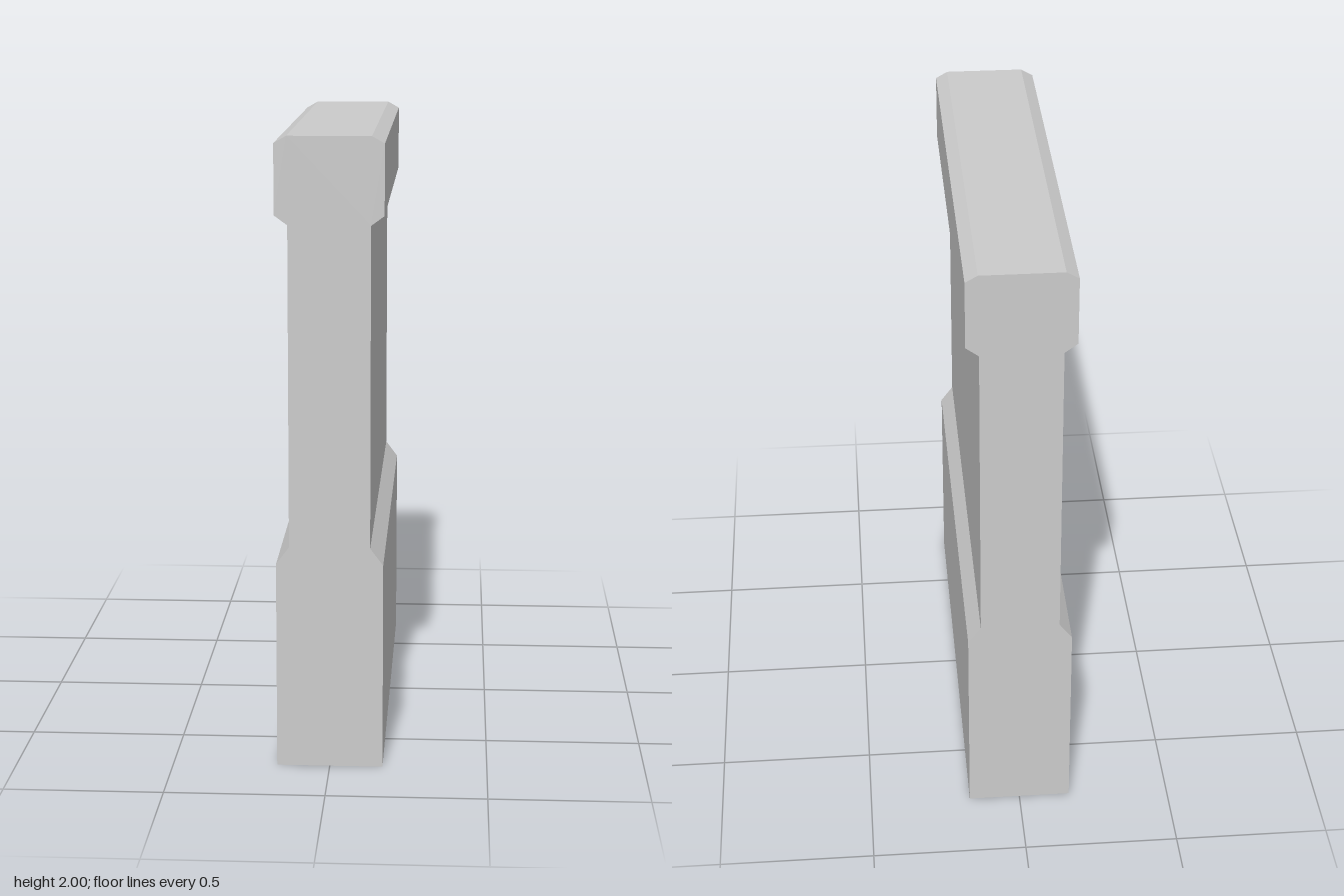
import * as THREE from 'three';

const DEPTH = 1.5;

// Right half of the wall's cross-section, from the foot up: [x, y]
const halfProfile = [
  [0.168, 0], [0.168, 0.665],   // plinth
  [0.127, 0.72], [0.127, 1.73], // recessed panel
  [0.168, 1.76], [0.168, 1.978], // coping
  [0.129, 2],                   // chamfered top
];

export function createModel() {
  const group = new THREE.Group();
  group.name = 'parapetWall';

  // Mirror the half profile into a closed outline
  const mirrored = halfProfile.map(([x, y]) => [-x, y]).reverse();
  const outline = [...halfProfile, ...mirrored].map(([x, y]) => new THREE.Vector2(x, y));

  // Run the section along z, centred
  const geometry = new THREE.ExtrudeGeometry(new THREE.Shape(outline), {
    depth: DEPTH,
    bevelEnabled: false,
  });
  geometry.translate(0, 0, -DEPTH / 2);

  const wall = new THREE.Mesh(
    geometry,
    new THREE.MeshStandardMaterial({ color: 0xcccccc, flatShading: true }),
  );
  wall.name = 'wallSection';
  group.add(wall);
  return group;
}
